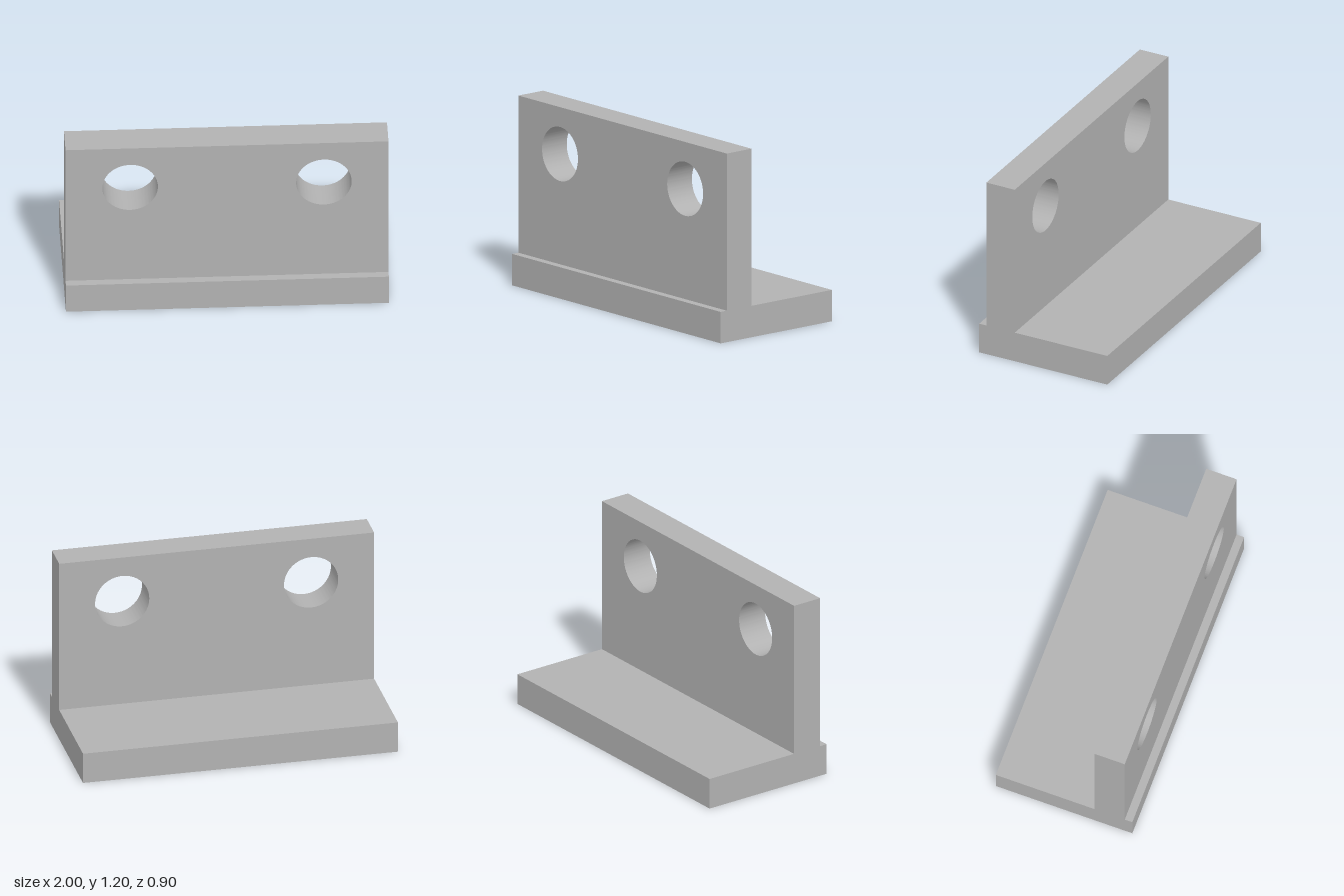
import * as THREE from 'three';
import { toCreasedNormals } from 'three/addons/utils/BufferGeometryUtils.js';

const WIDTH = 2;
const BASE = { height: 0.2, depth: 0.9 };
const WALL = { top: 1.2, back: 0.2, thickness: 0.2 };
const HOLE = { x: 0.6, y: 0.902, radius: 0.172 };

export function createModel() {
  const model = new THREE.Group();
  model.name = 'angleBracket';
  const grey = new THREE.MeshStandardMaterial({ color: 0xb2b2b2 });
  grey.name = 'plain grey';

  // Flat foot
  const base = new THREE.Mesh(new THREE.BoxGeometry(WIDTH, BASE.height, BASE.depth), grey);
  base.name = 'basePlate';
  base.position.y = BASE.height / 2;
  model.add(base);

  // Upright wall with a mirrored pair of through holes
  const outline = new THREE.Shape([
    new THREE.Vector2(-WIDTH / 2, BASE.height),
    new THREE.Vector2(WIDTH / 2, BASE.height),
    new THREE.Vector2(WIDTH / 2, WALL.top),
    new THREE.Vector2(-WIDTH / 2, WALL.top),
  ]);
  for (const side of [-1, 1]) {
    outline.holes.push(new THREE.Path().absarc(side * HOLE.x, HOLE.y, HOLE.radius, 0, Math.PI * 2, true));
  }
  const wallGeometry = new THREE.ExtrudeGeometry(outline, {
    depth: WALL.thickness, bevelEnabled: false, curveSegments: 64,
  });
  const wall = new THREE.Mesh(toCreasedNormals(wallGeometry, Math.PI / 6), grey);
  wall.name = 'uprightWall';
  wall.position.z = WALL.back;
  model.add(wall);

  return model;
}
